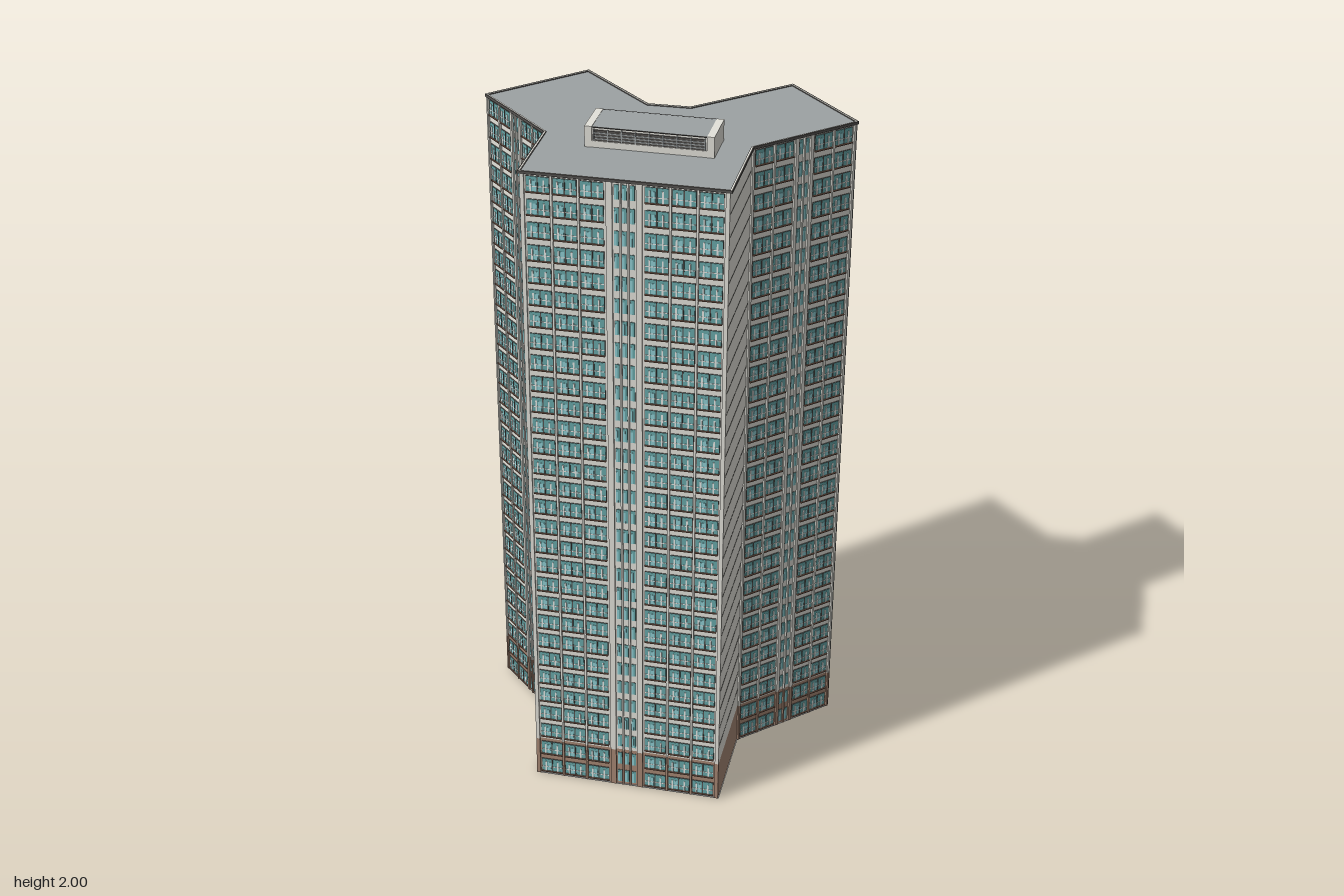
import * as THREE from 'three';
import { mergeGeometries } from 'three/addons/utils/BufferGeometryUtils.js';

const H = 1.942, FLOORS = 30, FH = H / FLOORS, BASE = 2 * FH, INSET = 0.003, RELIEF = 0.006;

// Footprint corners (x, z), counter-clockwise from above, and the kind of wall that starts at each
const PLAN = [
  [-0.47, 0.085, 'short'], [-0.18, 0.205, 'panelled'], [-0.08, 0.45, 'long'],
  [0.435, 0.245, 'blank'], [0.33, -0.02, 'short'], [0.467, -0.325, 'short'],
  [0.185, -0.455, 'short'], [0.045, -0.155, 'blank'], [-0.065, -0.108, 'short'],
  [-0.345, -0.22, 'short'],
];

const mat = (name, color) => {
  const m = new THREE.MeshStandardMaterial({ color });
  m.name = name;
  return m;
};

export function createModel() {
  const M = {
    wall: mat('pale concrete', 0xe3e2da),
    brick: mat('brown base', 0xa68774),
    roof: mat('roof grey', 0x9da2a3),
    floor: mat('underside grey', 0xd9d8d6),
    dark: mat('dark frame', 0x55524f),
    glass: mat('teal glass', 0x68a8a9),
    pane: mat('pale blue pane', 0x8fcdd3),
    light: mat('white trim', 0xf0f2ef),
    sill: mat('brown sill', 0x80604f),
  };
  const group = new THREE.Group();
  group.name = 'apartmentTower';
  const add = (name, geo, material, parent = group) => {
    const mesh = new THREE.Mesh(geo, material);
    mesh.name = name;
    parent.add(mesh);
    return mesh;
  };

  // Footprint moved inward by d with mitred corners
  const n = PLAN.length;
  const normal = (i) => {
    const a = PLAN[i], b = PLAN[(i + 1) % n];
    return new THREE.Vector2(-(b[1] - a[1]), b[0] - a[0]).normalize();
  };
  const inset = (d) => PLAN.map(([x, z], i) => {
    const n1 = normal((i + n - 1) % n), n2 = normal(i), k = d / (1 + n1.dot(n2));
    return new THREE.Vector2(x - (n1.x + n2.x) * k, z - (n1.y + n2.y) * k);
  });
  const flip = (pts) => pts.map((p) => new THREE.Vector2(p.x, -p.y));
  const slab = (d, y0, y1, holeInset) => {
    const shape = new THREE.Shape(flip(inset(d)));
    if (holeInset !== undefined) shape.holes.push(new THREE.Path(flip(inset(holeInset))));
    return new THREE.ExtrudeGeometry(shape, { depth: y1 - y0, bevelEnabled: false })
      .rotateX(-Math.PI / 2).translate(0, y0, 0);
  };

  // Solid body, roof and rim
  add('groundSlab', slab(0.001, 0, 0.003), M.floor);
  add('baseStorey', slab(INSET, 0.003, BASE), M.brick);
  add('towerBody', slab(INSET, BASE, H - 0.004), M.wall);
  add('roofDeck', slab(INSET, H - 0.004, H), M.roof);
  add('roofRim', slab(-0.003, H - 0.005, H + 0.003, 0), M.dark);
  add('roofCoping', slab(0, H - 0.005, H + 0.003, 0.003), M.wall);
  add('copingJoint', slab(0.003, H - 0.002, H + 0.002, 0.0045), M.dark);

  // Walls: local x runs along the wall, z points outward from the body
  const core = inset(INSET);
  PLAN.forEach(([, , kind], i) => {
    const p = core[i], q = core[(i + 1) % n], len = p.distanceTo(q);
    const wall = new THREE.Group();
    wall.name = `${kind}Wall${i + 1}`;
    wall.position.set(p.x, 0, p.y);
    wall.rotation.y = Math.atan2(-(q.y - p.y), q.x - p.x);
    group.add(wall);

    const bins = {};
    const box = (part, material, x0, x1, y0, y1, depth) => {
      const g = new THREE.BoxGeometry(x1 - x0, y1 - y0, depth)
        .translate((x0 + x1) / 2, (y0 + y1) / 2, depth / 2);
      (bins[part] ??= { material, list: [] }).list.push(g);
    };
    // Full-height pier, brown at the base
    const pier = (x0, x1) => {
      box('basePiers', M.brick, x0, x1, 0.003, BASE, RELIEF);
      box('piers', M.wall, x0, x1, BASE, H - 0.005, RELIEF);
    };

    if (kind === 'blank' || kind === 'panelled') {
      // Panel joints on the windowless walls
      for (let f = 3; f < FLOORS; f++)
        box('panelJoints', M.dark, 0, len, f * FH - 0.0004, f * FH + 0.0004, 0.0007);
      if (kind === 'panelled') {
        box('greyPanel', M.roof, 0.002, len * 0.4, BASE, H - 0.006, 0.0005);
        for (const t of [0.4, 0.94])
          box('verticalJoints', M.dark, len * t, len * t + 0.006, BASE, H - 0.006, 0.001);
      }
    } else {
      const long = kind === 'long';
      const units = long ? 3 : 2, slits = long ? 3 : 2;
      const clusters = [[0.02, 0.41], [0.59, 0.98]];
      for (const [a, b] of clusters) {
        const w = (b - a) * len / units;
        for (let k = 0; k < units; k++) {
          const x0 = a * len + k * w + 0.0042, x1 = x0 + w - 0.0084, uw = x1 - x0;
          if (k > 0) pier(x0 - 0.0072, x0 - 0.0012);
          for (let f = 0; f < FLOORS; f++) {
            const y = f * FH;
            box('windowFrames', M.dark, x0, x1, y + 0.0110, y + 0.0550, 0.002);
            box('windowGlass', M.glass, x0 + 0.0012, x1 - 0.0012, y + 0.012, y + 0.054, 0.003);
            box('palePanes', M.pane, x0 + uw * 0.28, x0 + uw * 0.44, y + 0.014, y + 0.044, 0.0038);
            for (const t of [0.2, 0.76])
              box('mullions', M.light, x0 + uw * t - 0.0022, x0 + uw * t + 0.0022,
                y + 0.012, y + 0.046, 0.0045);
            box('centreMullions', M.dark, x0 + uw * 0.5 - 0.0015, x0 + uw * 0.5 + 0.0015,
              y + 0.012, y + 0.054, 0.0045);
            box('windowRails', M.light, x0 + 0.0012, x1 - 0.0012, y + 0.026, y + 0.0285, 0.0042);
            box('windowSills', M.sill, x0, x1, y + 0.0085, y + 0.0115, 0.0065);
          }
        }
      }
      // Corner piers and broad piers beside the narrow windows
      pier(0, 0.02 * len);
      pier(0.98 * len, len);
      pier(0.413 * len, 0.443 * len);
      pier(0.557 * len, 0.587 * len);
      // Narrow stair windows in the middle
      const s0 = 0.443 * len, sw = 0.114 * len / slits;
      for (let k = 0; k < slits; k++) {
        const x0 = s0 + k * sw + sw * 0.22, x1 = s0 + (k + 1) * sw - sw * 0.22;
        for (let f = 0; f < FLOORS; f++) {
          const y = f * FH;
          box('slitFrames', M.dark, x0 - 0.0006, x1 + 0.0006, y + 0.0114, y + 0.0536, 0.001);
          box('slitGlass', M.glass, x0, x1, y + 0.012, y + 0.053, 0.002);
          box('slitPanes', M.pane, x0, (x0 + x1) / 2, y + 0.012, y + 0.045, 0.0027);
        }
        if (k > 0) pier(s0 + k * sw - 0.0025, s0 + k * sw + 0.0025);
      }
    }
    for (const [part, { material, list }] of Object.entries(bins))
      add(part, mergeGeometries(list), material, wall);
  });

  // Rooftop plant room
  const plant = new THREE.Group();
  plant.name = 'plantRoom';
  plant.position.set(0.102, H, 0.102);
  plant.rotation.y = Math.atan2(0.125, 0.315);
  group.add(plant);
  const block = (name, material, w, h, d, x, y, z) =>
    add(name, new THREE.BoxGeometry(w, h, d).translate(x, y + h / 2, z), material, plant);
  const PL = 0.346, PD = 0.126, PH = 2 - H;
  block('plantBody', M.wall, PL - 0.04, PH - 0.004, PD - 0.012, 0, 0, 0);
  block('plantRoof', M.roof, PL - 0.04, 0.003, PD - 0.004, 0, PH - 0.004, 0);
  for (const s of [-1, 1]) {
    block('endWall', M.wall, 0.02, PH, PD, s * (PL / 2 - 0.01), 0, 0);
    const z = s * (PD / 2 - 0.005);
    block('ledge', M.wall, PL - 0.04, 0.018, 0.008, 0, 0, z);
    block('louvreBack', M.dark, PL - 0.05, 0.03, 0.004, 0, 0.018, z);
    for (let k = 0; k < 3; k++)
      block('louvreSlat', M.roof, PL - 0.05, 0.003, 0.007, 0, 0.023 + k * 0.008, z);
    for (let k = 0; k <= 8; k++)
      block('louvrePost', M.roof, 0.003, 0.032, 0.008, (k / 8 - 0.5) * (PL - 0.05), 0.018, z);
    block('eaveLine', M.dark, PL - 0.04, 0.0025, 0.002, 0, PH - 0.003, s * (PD / 2 - 0.001));
  }
  return group;
}
